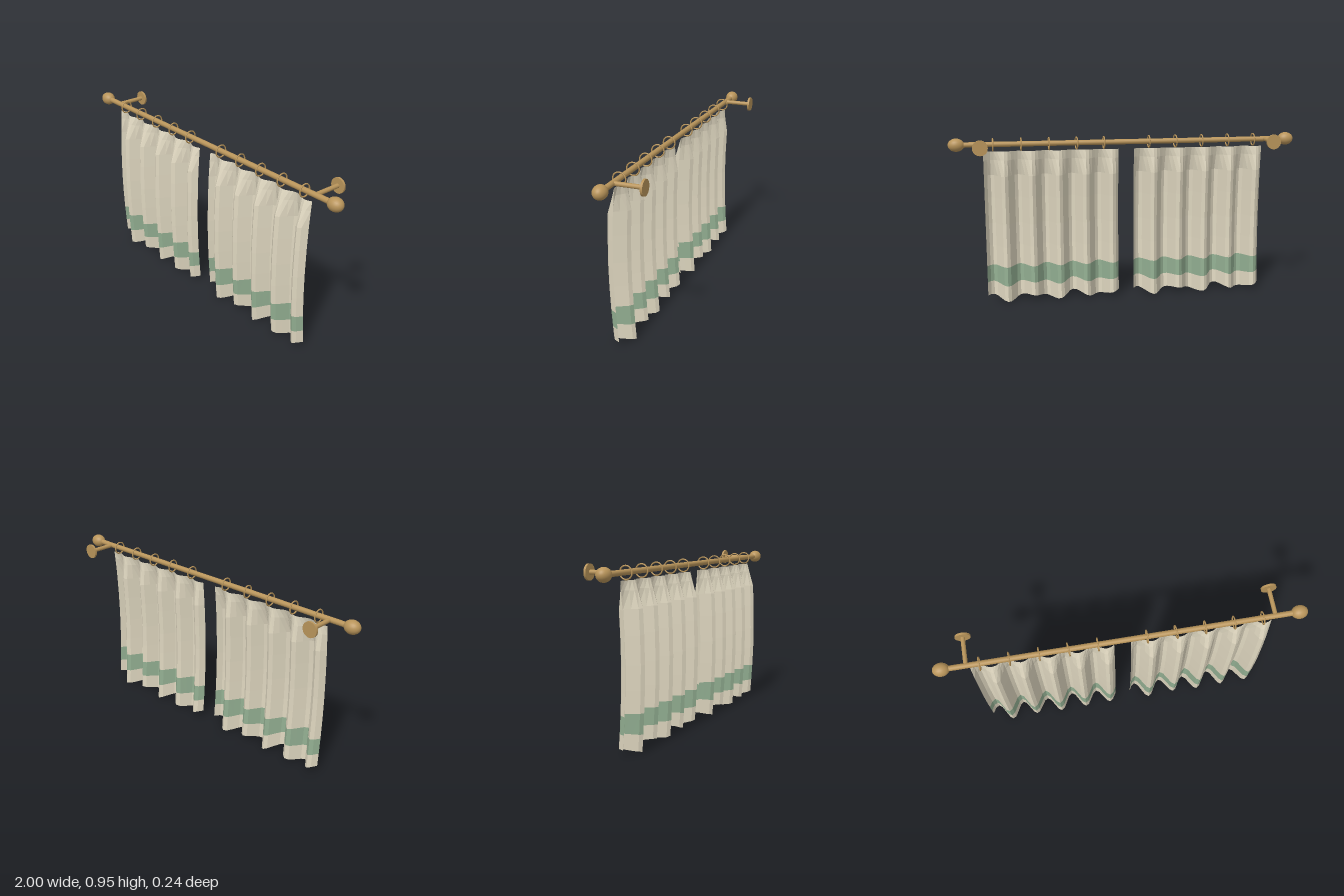
import * as THREE from 'three';

const ROD_Y = 0.91, ROD_Z = 0.05;

// Hanging profile of the cloth: [height, middle z, fold depth]
const UPPER = [
  [0.87, 0.052, 0.013], [0.82, 0.057, 0.025], [0.73, 0.064, 0.046], [0.6, 0.07, 0.046],
  [0.45, 0.073, 0.046], [0.32, 0.071, 0.046], [0.204, 0.066, 0.046],
];
const BAND = [[0.204, 0.066, 0.046], [0.102, 0.06, 0.046]];
const HEM = [[0.102, 0.06, 0.046], [0.019, 0.054, 0.046]];

// Pleated strip of cloth between the given profile rows
function cloth(name, rows, x0, x1, material) {
  const folds = 5, cols = folds * 8;
  const positions = [], index = [];
  rows.forEach(([y, mid, depth]) => {
    const sag = 0.016 * Math.max(0, (0.204 - y) / 0.185); // wavy hem fades out upwards
    for (let i = 0; i <= cols; i++) {
      const u = i / cols;
      positions.push(
        x0 + (x1 - x0) * u,
        y + sag * Math.cos(u * Math.PI * 6),
        mid - depth * Math.sin(u * Math.PI * 2 * folds),
      );
    }
  });
  for (let r = 0; r < rows.length - 1; r++) {
    for (let i = 0; i < cols; i++) {
      const a = r * (cols + 1) + i, b = a + cols + 1;
      index.push(a, b, a + 1, b, b + 1, a + 1);
    }
  }
  const geometry = new THREE.BufferGeometry();
  geometry.setAttribute('position', new THREE.Float32BufferAttribute(positions, 3));
  geometry.setIndex(index);
  geometry.computeVertexNormals();
  const mesh = new THREE.Mesh(geometry, material);
  mesh.name = name;
  return mesh;
}

export function createModel() {
  const model = new THREE.Group();
  model.name = 'curtainRail';

  const brass = new THREE.MeshStandardMaterial({ color: 0xb8945a });
  brass.name = 'brass';
  const linen = new THREE.MeshStandardMaterial({ color: 0xded6bf, side: THREE.DoubleSide, flatShading: true });
  linen.name = 'linen';
  const green = new THREE.MeshStandardMaterial({ color: 0x92ae91, side: THREE.DoubleSide, flatShading: true });
  green.name = 'sageGreen';

  const add = (name, geometry, x, y, z, parent = model) => {
    const mesh = new THREE.Mesh(geometry, brass);
    mesh.name = name;
    mesh.position.set(x, y, z);
    parent.add(mesh);
    return mesh;
  };

  // Rod
  add('rod', new THREE.CylinderGeometry(0.015, 0.015, 1.86, 20).rotateZ(Math.PI / 2), 0, ROD_Y, ROD_Z);

  // Finials and wall brackets at both ends
  const finial = new THREE.SphereGeometry(0.037, 24, 16).rotateZ(Math.PI / 2).scale(1.22, 1, 1);
  const arm = new THREE.CylinderGeometry(0.012, 0.012, 0.165, 16).rotateX(Math.PI / 2);
  const plate = new THREE.CylinderGeometry(0.042, 0.042, 0.012, 28).rotateX(Math.PI / 2);
  for (const side of [-1, 1]) {
    const label = side > 0 ? 'left' : 'right';
    add(label + 'Finial', finial, side * 0.955, ROD_Y, ROD_Z);
    const bracket = new THREE.Group();
    bracket.name = label + 'Bracket';
    add('bracketArm', arm, side * 0.825, ROD_Y, -0.032, bracket);
    add('wallPlate', plate, side * 0.825, ROD_Y, -0.114, bracket);
    model.add(bracket);
  }

  // Curtains with their rings
  const ring = new THREE.TorusGeometry(0.034, 0.004, 8, 28).rotateY(Math.PI / 2);
  for (const side of [-1, 1]) {
    const curtain = new THREE.Group();
    curtain.name = side > 0 ? 'leftCurtain' : 'rightCurtain';
    const x0 = side > 0 ? 0.045 : -0.81, x1 = x0 + 0.765;
    curtain.add(
      cloth('curtainCloth', UPPER, x0, x1, linen),
      cloth('greenBand', BAND, x0, x1, green),
      cloth('hem', HEM, x0, x1, linen),
    );
    for (let i = 0; i < 5; i++) {
      const mesh = add('ring', ring, side * (0.131 + i * 0.156), ROD_Y - 0.002, ROD_Z, curtain);
      mesh.rotation.y = i === 1 ? 0.1 : 0.02;
    }
    model.add(curtain);
  }
  return model;
}
